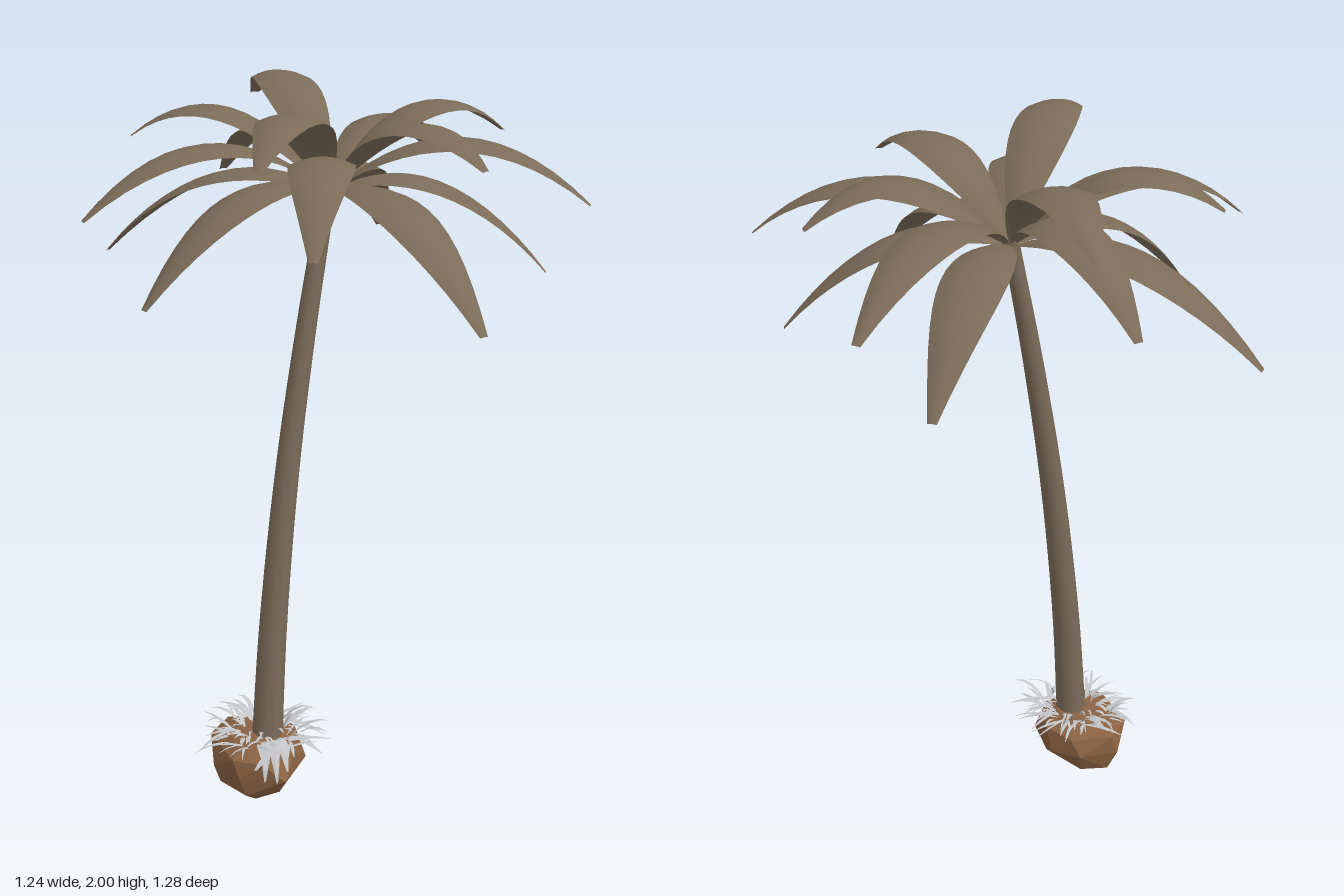
import * as THREE from 'three';
import { mergeGeometries } from 'three/addons/utils/BufferGeometryUtils.js';
import { ConvexGeometry } from 'three/addons/geometries/ConvexGeometry.js';

const V = (x, y, z) => new THREE.Vector3(x, y, z);

// small seeded random source
function seeded(seed) {
  return () => (seed = (seed * 16807) % 2147483647) / 2147483647;
}

// arched blade from base to tip that crests at height peak; its edges droop
function bladeGeometry(base, tip, peak, halfWidth, rows, cols, droop) {
  const crest = 1 / (1 + Math.sqrt((peak - tip.y) / (peak - base.y)));
  const rise = peak - base.y;
  const spine = (t) => V(
    base.x + (tip.x - base.x) * t,
    base.y + rise * (1 - ((t - crest) / crest) ** 2),
    base.z + (tip.z - base.z) * t
  );
  const side = V(tip.z - base.z, 0, base.x - tip.x).normalize();
  const positions = [], index = [];
  for (let r = 0; r <= rows; r++) {
    const t = r / rows;
    const w = halfWidth * Math.sin(Math.PI * 0.955 * Math.pow(t, 0.87));
    const tangent = spine(t + 0.01).sub(spine(t - 0.01)).normalize();
    const up = tangent.clone().cross(side);
    for (let c = 0; c <= cols; c++) {
      const u = (c / cols) * 2 - 1;
      const p = spine(t).addScaledVector(side, u * w).addScaledVector(up, -droop * w * u * u);
      positions.push(p.x, p.y, p.z);
      if (r < rows && c < cols) {
        const a = r * (cols + 1) + c, b = a + cols + 1;
        index.push(a, b, a + 1, a + 1, b, b + 1);
      }
    }
  }
  const g = new THREE.BufferGeometry();
  g.setAttribute('position', new THREE.Float32BufferAttribute(positions, 3));
  g.setIndex(index);
  g.computeVertexNormals();
  return g;
}

// leaning, tapering trunk
function trunkGeometry() {
  const curve = new THREE.CatmullRomCurve3([
    V(-0.17, 0.13, 0.037), V(-0.138, 0.55, 0.025), V(-0.083, 1, 0.008),
    V(-0.015, 1.4, -0.01), V(0.058, 1.76, -0.028),
  ]);
  const rings = 18, sides = 12;
  const g = new THREE.TubeGeometry(curve, rings, 1, sides, false);
  const pos = g.attributes.position, p = V(0, 0, 0);
  for (let i = 0; i < pos.count; i++) {
    const t = Math.floor(i / (sides + 1)) / rings;
    const c = curve.getPointAt(t);
    p.fromBufferAttribute(pos, i).sub(c).multiplyScalar(0.045 - 0.023 * t).add(c);
    pos.setXYZ(i, p.x, p.y, p.z);
  }
  g.computeVertexNormals();
  return g;
}

// faceted boulder: hull of a few uneven rings
function rockGeometry() {
  const rand = seeded(71);
  const points = [];
  for (const [y, r, n] of [[0.008, 0.45, 4], [0.05, 0.82, 6], [0.11, 1, 7], [0.17, 0.93, 7], [0.197, 0.55, 5]]) {
    for (let i = 0; i < n; i++) {
      const a = ((i + rand() * 0.4) / n) * Math.PI * 2 + y * 20;
      const k = r * (0.94 + rand() * 0.12);
      points.push(V(-0.192 + Math.cos(a) * k * 0.134, Math.max(0, y + (rand() - 0.5) * 0.018), 0.015 + Math.sin(a) * k * 0.152));
    }
  }
  return new ConvexGeometry(points);
}

// dry grass around the foot of the trunk
function grassGeometry() {
  const rand = seeded(1234);
  const blades = [];
  for (let i = 0; i < 95; i++) {
    const a = i * 2.4;
    const start = 0.03 + rand() * 0.07, end = start + 0.04 + rand() * 0.09;
    const y = 0.175 + rand() * 0.02, tipY = 0.165 + rand() * 0.075;
    const at = (r, h, turn) => V(-0.175 + Math.cos(a + turn) * r, h, 0.025 + Math.sin(a + turn) * r);
    blades.push(bladeGeometry(at(start, y, 0), at(end, tipY, (rand() - 0.5) * 1.4),
      Math.max(y, tipY) + 0.006, 0.003 + rand() * 0.005, 4, 1, 0));
  }
  // broad withered tufts hanging over the front of the rock
  for (const [x, tipX, tipY, tipZ] of [[-0.19, -0.235, 0.125, 0.172], [-0.175, -0.2, 0.115, 0.178], [-0.16, -0.165, 0.14, 0.172]]) {
    blades.push(bladeGeometry(V(x, 0.19, 0.085), V(tipX, tipY, tipZ), 0.215, 0.016, 6, 2, 0.2));
  }
  return mergeGeometries(blades);
}

export function createModel() {
  const group = new THREE.Group();
  const palmBrown = new THREE.MeshStandardMaterial({ color: 0x7b6b58, side: THREE.DoubleSide });
  palmBrown.name = 'palmBrown';
  const rockBrown = new THREE.MeshStandardMaterial({ color: 0x8a6242, flatShading: true });
  rockBrown.name = 'rockBrown';
  const grassGrey = new THREE.MeshStandardMaterial({ color: 0xc4c5c8, side: THREE.DoubleSide });
  grassGrey.name = 'grassGrey';

  const add = (parent, name, geometry, material) => {
    const mesh = new THREE.Mesh(geometry, material);
    mesh.name = name;
    parent.add(mesh);
  };
  add(group, 'rock', rockGeometry(), rockBrown);
  add(group, 'grass', grassGeometry(), grassGrey);
  add(group, 'trunk', trunkGeometry(), palmBrown);

  // three tiers of five fronds: tip x, tip y, tip z, crest height
  const tiers = {
    lowerFrond: [[0.445, 1.52, -0.465, 1.785], [-0.395, 1.52, -0.525, 1.785], [-0.51, 1.52, 0.09, 1.785],
      [0.135, 1.52, 0.64, 1.785], [0.59, 1.52, 0.21, 1.785]],
    middleFrond: [[0, 1.7, -0.615, 1.88], [0.605, 1.73, -0.435, 1.89], [0.612, 1.73, 0.362, 1.89],
      [-0.23, 1.7, 0.475, 1.88], [-0.618, 1.73, -0.025, 1.89]],
    upperFrond: [[0.115, 1.91, -0.64, 2], [0.59, 1.86, -0.03, 1.955], [0.225, 1.87, 0.475, 1.955],
      [-0.345, 1.91, 0.43, 2], [-0.37, 1.87, -0.345, 1.955]],
  };
  const crown = new THREE.Group();
  crown.name = 'crown';
  group.add(crown);
  for (const [name, fronds] of Object.entries(tiers)) {
    fronds.forEach(([x, y, z, peak], i) => add(crown, name + (i + 1),
      bladeGeometry(V(0.058, 1.738, -0.03), V(x, y, z), peak, 0.083, 14, 6, 0.25), palmBrown));
  }
  return group;
}
